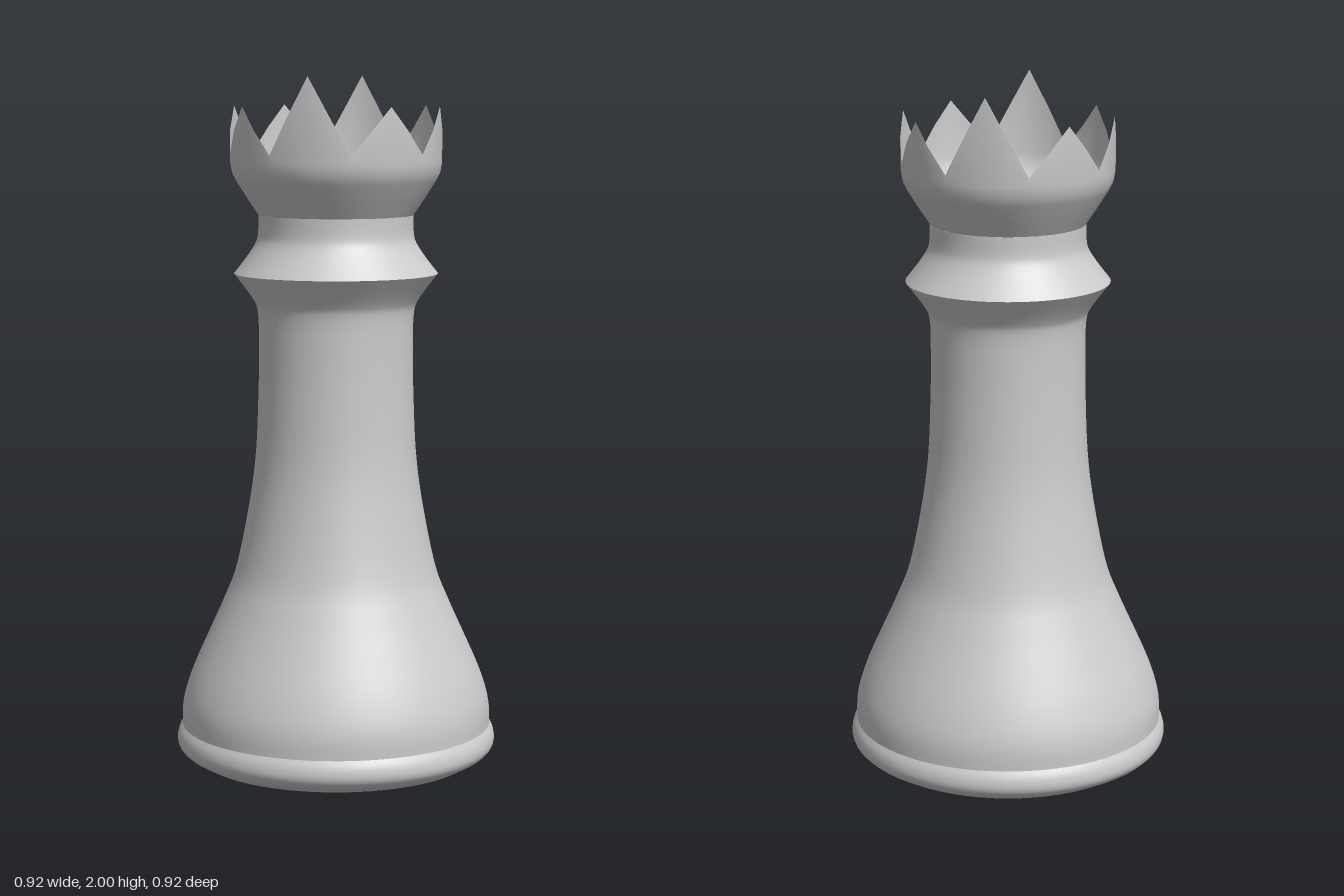
import * as THREE from 'three';

export function createModel() {
  const group = new THREE.Group();
  const material = new THREE.MeshStandardMaterial({ color: 0xcccccc });
  const thin = new THREE.MeshStandardMaterial({ color: 0xcccccc, side: THREE.DoubleSide });

  const add = (name, geometry, mat = material) => {
    const mesh = new THREE.Mesh(geometry, mat);
    mesh.name = name;
    group.add(mesh);
    return mesh;
  };
  const vectors = (pairs) => pairs.map(([r, y]) => new THREE.Vector2(r, y));
  // Turned part: a smooth curve through [radius, height] pairs, bottom to top
  const turned = (pairs, steps) =>
    new THREE.LatheGeometry(new THREE.SplineCurve(vectors(pairs)).getPoints(steps), 64);

  // Shallow domed underside
  add('underside', new THREE.LatheGeometry(vectors(
    [[0, 0.003], [0.2, 0.007], [0.33, 0.02], [0.4, 0.038], [0.44, 0.06]]), 64));

  // Rounded bead around the foot
  add('footBead', turned(
    [[0.44, 0.06], [0.455, 0.075], [0.461, 0.095], [0.457, 0.12], [0.446, 0.14]], 12));

  // Flared body narrowing to the stem and spreading under the collar
  add('body', turned([
    [0.446, 0.14], [0.445, 0.19], [0.435, 0.24], [0.41, 0.31], [0.37, 0.4], [0.325, 0.5],
    [0.287, 0.6], [0.25, 0.78], [0.23, 0.93], [0.222, 1.1], [0.22, 1.22], [0.222, 1.33],
    [0.238, 1.375], [0.29, 1.445]], 60));

  // Sharp collar running up into the neck
  add('collar', turned(
    [[0.29, 1.445], [0.255, 1.49], [0.229, 1.53], [0.221, 1.56], [0.22, 1.61]], 16));

  // Flat floor inside the crown
  const floor = add('crownFloor', new THREE.CircleGeometry(0.22, 64));
  floor.rotation.x = -Math.PI / 2;
  floor.position.y = 1.61;

  // Open crown: the top ring is raised into eight points, taller at front and back
  const profile = vectors([[0.22, 1.61], [0.25, 1.655], [0.282, 1.705], [0.295, 1.73], [0.3, 1.76], [0.3, 1.785]]);
  const segments = 32;
  const crown = new THREE.LatheGeometry(profile, segments);
  const position = crown.attributes.position;
  const trough = 1.785;
  for (let i = 0; i <= segments; i++) {
    const point = Math.round(i / 4) % 8;
    const peak = point % 4 === 0 ? 2 : 1.917;
    const fromPeak = Math.abs(((i + 2) % 4) - 2) / 2;
    position.setY(i * profile.length + profile.length - 1, THREE.MathUtils.lerp(peak, trough, fromPeak));
  }
  add('crown', crown, thin);

  return group;
}
